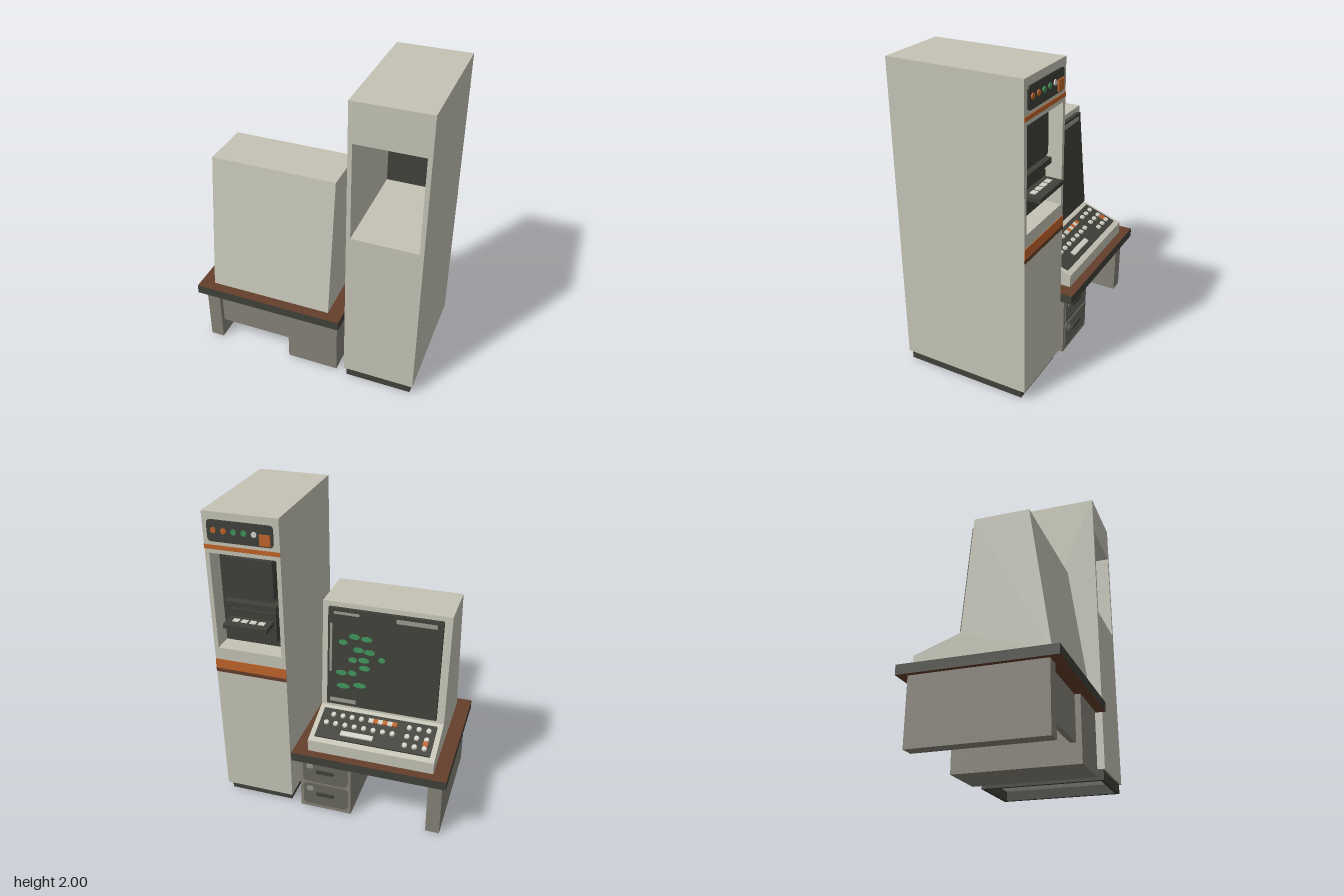
import * as THREE from 'three';

const mat = (name, color) => {
  const m = new THREE.MeshStandardMaterial({ color });
  m.name = name;
  return m;
};

export function createModel() {
  const beige = mat('beige', 0xc4c3b5), dark = mat('charcoal', 0x40413a);
  const brown = mat('brown', 0x643f2b), grey = mat('deskGrey', 0x858177);
  const orange = mat('orange', 0xc0642a), green = mat('green', 0x3f9258);
  const white = mat('offWhite', 0xd2d1c8), mid = mat('midGrey', 0x67675f);
  const trim = mat('trimGrey', 0x97978e);

  const model = new THREE.Group();
  const add = (parent, name, geo, m) => {
    const mesh = new THREE.Mesh(geo, m);
    mesh.name = name;
    parent.add(mesh);
    return mesh;
  };
  const box = (p, name, m, x0, x1, y0, y1, z0, z1) => {
    const mesh = add(p, name, new THREE.BoxGeometry(x1 - x0, y1 - y0, z1 - z0), m);
    mesh.position.set((x0 + x1) / 2, (y0 + y1) / 2, (z0 + z1) / 2);
    return mesh;
  };
  const group = (name, parent = model) => {
    const g = new THREE.Group();
    g.name = name;
    parent.add(g);
    return g;
  };
  // round disc facing -z
  const disc = (p, name, m, x, y, z, rx, ry = rx, t = 0.008) => {
    const mesh = add(p, name, new THREE.CylinderGeometry(1, 1, t, 12).rotateX(Math.PI / 2), m);
    mesh.scale.set(rx, ry, 1);
    mesh.position.set(x, y, z);
  };
  // plate with rounded corners, from z0 to z1
  const plate = (p, name, m, x0, x1, y0, y1, z0, z1, r) => {
    const s = new THREE.Shape();
    s.moveTo(x0 + r, y0);
    s.lineTo(x1 - r, y0).quadraticCurveTo(x1, y0, x1, y0 + r);
    s.lineTo(x1, y1 - r).quadraticCurveTo(x1, y1, x1 - r, y1);
    s.lineTo(x0 + r, y1).quadraticCurveTo(x0, y1, x0, y1 - r);
    s.lineTo(x0, y0 + r).quadraticCurveTo(x0, y0, x0 + r, y0);
    const geo = new THREE.ExtrudeGeometry(s, { depth: z1 - z0, bevelEnabled: false, curveSegments: 4 });
    add(p, name, geo.translate(0, 0, z0), m);
  };

  // Desk
  const desk = group('desk');
  box(desk, 'tabletop', [dark, dark, brown, brown, dark, dark], -0.75, 0.248, 0.41, 0.47, -0.467, 0.467);
  box(desk, 'legPanel', grey, -0.72, -0.63, 0, 0.41, -0.405, 0.405);
  box(desk, 'modestyPanel', grey, -0.63, -0.127, 0.125, 0.41, 0.335, 0.37);
  box(desk, 'pedestal', grey, -0.127, 0.217, 0, 0.41, -0.4, 0.405);
  for (const y of [0.03, 0.215]) {
    plate(desk, 'drawerFront', mid, -0.105, 0.195, y, y + 0.17, -0.407, -0.398, 0.03);
    plate(desk, 'drawerHandle', dark, -0.015, 0.105, y + 0.08, y + 0.105, -0.416, -0.406, 0.011);
    plate(desk, 'labelHolder', trim, 0.125, 0.17, y + 0.11, y + 0.145, -0.41, -0.406, 0.012);
  }

  // Terminal housing, a side profile drawn out along x
  const terminal = group('terminal');
  const profile = [[-0.41, 0.47], [0.4, 0.47], [0.275, 1.373], [-0.065, 1.373], [-0.128, 0.65], [-0.41, 0.55]];
  const side = new THREE.Shape(profile.map(([z, y]) => new THREE.Vector2(z, y)));
  const housing = new THREE.ExtrudeGeometry(side, { depth: 0.812, bevelEnabled: false });
  add(terminal, 'housing', housing.rotateY(-Math.PI / 2).translate(0.154, 0, 0), beige);

  // Keyboard, laid on the sloped front deck (z runs up the slope)
  const keyboard = group('keyboard', terminal);
  keyboard.position.set(0, 0.55, -0.41);
  keyboard.rotation.x = -Math.atan2(0.1, 0.282);
  const slope = (z) => (z + 0.41) * 1.061;
  box(keyboard, 'keyPlate', dark, -0.625, 0.12, -0.005, 0.01, slope(-0.375), slope(-0.16));
  const key = (x, z, m) => {
    const k = add(keyboard, 'key', new THREE.CylinderGeometry(0.015, 0.018, 0.012, 10), m);
    k.position.set(x, 0.016, slope(z));
  };
  for (const z of [-0.33, -0.268, -0.204]) for (const x of [-0.58, -0.517, -0.455]) key(x, z, white);
  for (let i = 0; i < 8; i++) {
    key(-0.36 + i * 0.062, -0.268, white);
    if (i > 2 && i < 7) key(-0.327 + i * 0.062, -0.204, white);
  }
  for (let i = 0; i < 6; i++) {
    const x = -0.375 + i * 0.031;
    box(keyboard, 'functionKey', i % 2 ? white : orange, x, x + 0.031, 0.01, 0.022, slope(-0.218), slope(-0.19));
  }
  box(keyboard, 'functionKey', orange, -0.596, -0.564, 0.01, 0.022, slope(-0.315), slope(-0.284));
  box(keyboard, 'spaceBar', white, -0.25, -0.04, 0.01, 0.02, slope(-0.345), slope(-0.313));

  // Screen, leaning with the housing (outward is -z)
  const screen = group('screen', terminal);
  screen.position.set(0, 0.65, -0.128);
  screen.rotation.x = Math.atan2(0.063, 0.723);
  box(screen, 'screenSlab', dark, -0.61, 0.11, 0.03, 0.695, -0.028, 0.01);
  const at = (u, v) => [0.11 - u * 0.72, 0.695 - v * 0.665];
  const marks = [
    [0.24, 0.26, 0.05], [0.35, 0.27, 0.05], [0.14, 0.33, 0.04], [0.28, 0.39, 0.05], [0.38, 0.4, 0.05],
    [0.23, 0.5, 0.04], [0.33, 0.49, 0.05], [0.49, 0.46, 0.03], [0.13, 0.65, 0.05], [0.23, 0.64, 0.04],
    [0.34, 0.57, 0.05], [0.3, 0.76, 0.06], [0.15, 0.79, 0.06],
  ];
  for (const [u, v, w] of marks) disc(screen, 'glowingMark', green, ...at(u, v), -0.029, w * 0.72, 0.018, 0.006);
  const strips = [[0.05, 0.03, 0.28, 0.055], [0.6, 0.03, 0.95, 0.07], [0.03, 0.93, 0.27, 0.97], [0.02, 0.15, 0.04, 0.65]];
  for (const [u0, v0, u1, v1] of strips) {
    const [xa, ya] = at(u0, v0), [xb, yb] = at(u1, v1);
    plate(screen, 'screenTrim', trim, xb, xa, yb, ya, -0.032, -0.027, 0.006);
  }

  // Tall cabinet with an opening running from front to back
  const cabinet = group('cabinet');
  const rect = (S, x0, x1, y0, y1) =>
    new S([[x0, y0], [x1, y0], [x1, y1], [x0, y1]].map(([x, y]) => new THREE.Vector2(x, y)));
  const face = rect(THREE.Shape, 0.28, 0.746, 0.063, 2);
  face.holes.push(rect(THREE.Path, 0.306, 0.719, 1.126, 1.75));
  const shell = new THREE.ExtrudeGeometry(face, { depth: 0.842, bevelEnabled: false });
  add(cabinet, 'cabinetShell', shell.translate(0, 0, -0.405), beige);
  // open plinth frame
  for (const x of [0.296, 0.703]) box(cabinet, 'plinthSide', dark, x, x + 0.025, 0, 0.063, -0.373, 0.425);
  for (const z of [-0.373, 0.4]) box(cabinet, 'plinthEnd', dark, 0.321, 0.703, 0, 0.063, z, z + 0.025);

  // Control strip and stripes
  plate(cabinet, 'controlPanel', dark, 0.315, 0.717, 1.825, 1.955, -0.413, -0.404, 0.025);
  [orange, orange, green, green, white].forEach((m, i) =>
    disc(cabinet, 'indicator', m, 0.675 - i * 0.062, 1.895, -0.416, 0.017));
  box(cabinet, 'switch', orange, 0.33, 0.395, 1.835, 1.9, -0.422, -0.412);
  box(cabinet, 'upperStripe', orange, 0.28, 0.746, 1.776, 1.802, -0.409, -0.404);
  box(cabinet, 'lowerStripe', orange, 0.28, 0.746, 0.98, 1.045, -0.409, -0.404);
  box(cabinet, 'thinStripe', brown, 0.28, 0.746, 0.955, 0.98, -0.409, -0.404);

  // Recessed drive units and the pull-out shelf
  box(cabinet, 'driveBackPanel', dark, 0.306, 0.719, 1.126, 1.75, -0.285, -0.255);
  plate(cabinet, 'upperDrive', dark, 0.36, 0.665, 1.45, 1.71, -0.345, -0.284, 0.03);
  plate(cabinet, 'lowerDrive', dark, 0.36, 0.665, 1.16, 1.37, -0.33, -0.284, 0.03);
  box(cabinet, 'driveBar', dark, 0.345, 0.68, 1.395, 1.43, -0.36, -0.284);
  for (const y of [1.19, 1.5]) box(cabinet, 'driveTrim', trim, 0.325, 0.34, y, y + 0.15, -0.293, -0.284);
  box(cabinet, 'shelf', dark, 0.374, 0.652, 1.293, 1.32, -0.45, -0.284);
  for (let i = 0; i < 4; i++)
    box(cabinet, 'shelfKey', white, 0.41 + i * 0.055, 0.45 + i * 0.055, 1.319, 1.325, -0.4, -0.365);

  return model;
}
